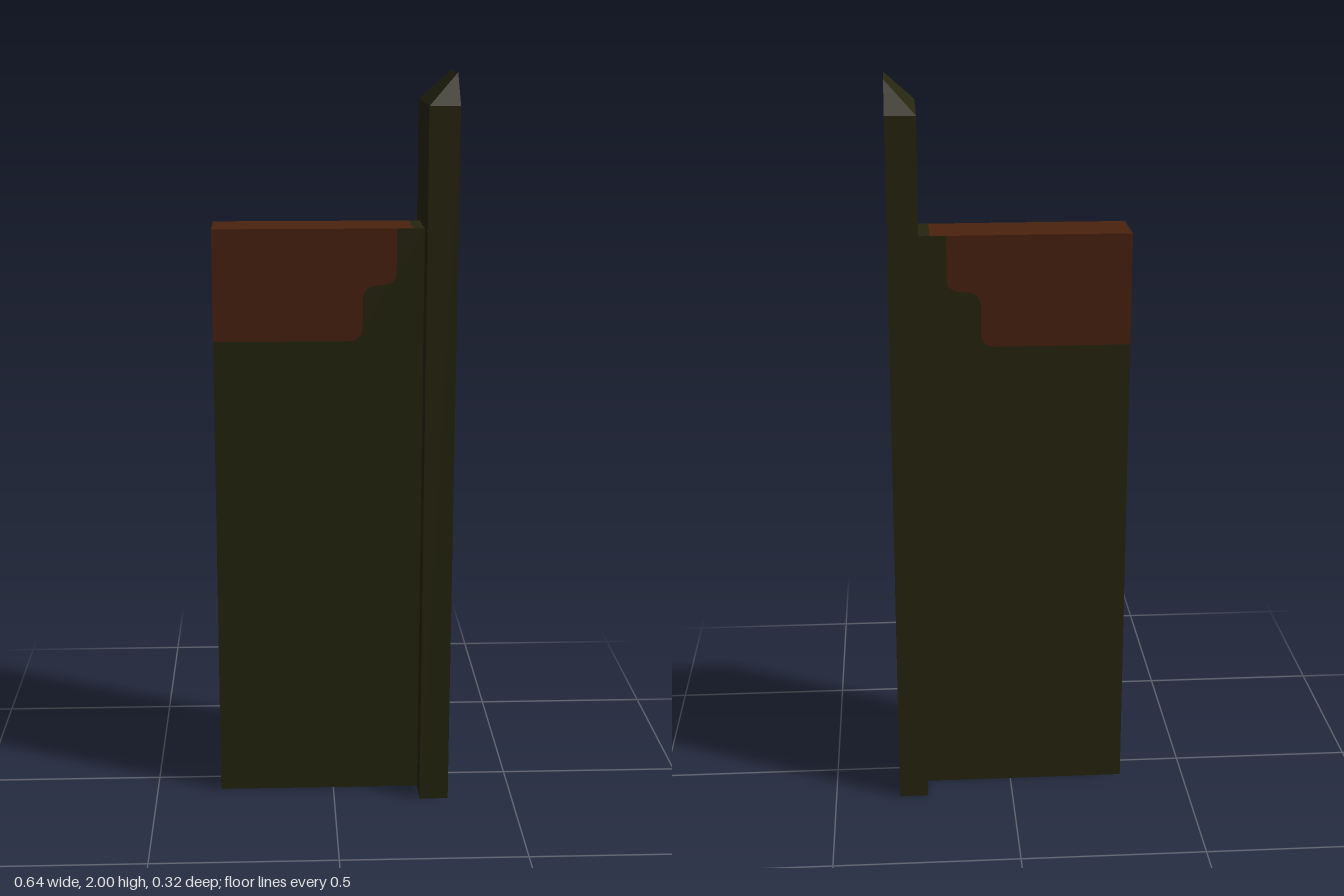
import * as THREE from 'three';

const side = THREE.DoubleSide;
const green = new THREE.MeshStandardMaterial({ name: 'dark olive', color: 0x26250f, side });
const rust = new THREE.MeshStandardMaterial({ name: 'rust brown', color: 0x4a220e, side });

// Key dimensions
const LEFT = -0.32, WEB = 0.24, RIGHT = 0.32;
const WALL_Z = 0.08, FLANGE_Z = 0.16;
const PANEL_TOP = 1.6, RUST_BOTTOM = 1.3, POST_SHOULDER = 1.92, POST_TOP = 2;

// Flat-shaded surface from convex corner loops, each anticlockwise from outside
function sheet(name, material, ...loops) {
  const pos = [];
  for (const c of loops)
    for (let i = 1; i < c.length - 1; i++) pos.push(...c[0], ...c[i], ...c[i + 1]);
  const g = new THREE.BufferGeometry();
  g.setAttribute('position', new THREE.Float32BufferAttribute(pos, 3));
  g.computeVertexNormals();
  const mesh = new THREE.Mesh(g, material);
  mesh.name = name;
  return mesh;
}

// Rounded, stepped border between the two paint colours
function paintBorder() {
  const p = new THREE.Path();
  p.moveTo(LEFT, RUST_BOTTOM);
  p.lineTo(0.04, RUST_BOTTOM);
  p.quadraticCurveTo(0.078, RUST_BOTTOM, 0.078, 1.34);
  p.lineTo(0.078, 1.415);
  p.quadraticCurveTo(0.08, 1.45, 0.125, 1.45);
  p.quadraticCurveTo(0.167, 1.45, 0.167, 1.485);
  p.lineTo(0.167, PANEL_TOP);
  return p.getPoints(6);
}

// One side of the hollow panel; dir = 1 for front, -1 for back
function panelWall(dir) {
  const wall = new THREE.Group();
  wall.name = dir > 0 ? 'frontWall' : 'backWall';
  const border = paintBorder();
  const v = (x, y) => new THREE.Vector2(x, y);
  const regions = [
    ['wallRust', rust, [...border, v(LEFT, PANEL_TOP)]],
    ['wallGreen', green, [v(LEFT, 0), v(WEB, 0), v(WEB, PANEL_TOP), ...border.slice().reverse()]],
  ];
  for (const [name, material, points] of regions) {
    const shape = new THREE.Shape(points.map((p) => v(p.x * dir, p.y)));
    const mesh = new THREE.Mesh(new THREE.ShapeGeometry(shape), material);
    mesh.name = name;
    wall.add(mesh);
  }
  wall.position.z = dir * WALL_Z;
  if (dir < 0) wall.rotation.y = Math.PI;
  return wall;
}

// Strip of the panel's top edge
const topStrip = (name, material, x0, x1) => sheet(name, material, [
  [x0, PANEL_TOP, WALL_Z], [x1, PANEL_TOP, WALL_Z],
  [x1, PANEL_TOP, -WALL_Z], [x0, PANEL_TOP, -WALL_Z],
]);

// Channel post, open on its outer side and underneath, with a hipped cap
function post() {
  const g = new THREE.Group();
  g.name = 'post';
  const S = POST_SHOULDER, T = POST_TOP, F = FLANGE_Z, W = WALL_Z;
  g.add(sheet('postWeb', green, [[WEB, 0, -F], [WEB, 0, F], [WEB, S, F], [WEB, S, -F]]));
  g.add(sheet('postCap', green, [[WEB, S, -F], [WEB, S, F], [RIGHT, T, W], [RIGHT, T, -W]]));
  for (const d of [1, -1]) {
    const flange = [[WEB, 0, d * F], [RIGHT, 0, d * F], [RIGHT, S, d * F], [WEB, S, d * F]];
    const hip = [[WEB, S, d * F], [RIGHT, S, d * F], [RIGHT, T, d * W]];
    if (d < 0) { flange.reverse(); hip.reverse(); }
    g.add(sheet(d > 0 ? 'frontFlange' : 'backFlange', green, flange, hip));
  }
  return g;
}

export function createModel() {
  const model = new THREE.Group();
  model.name = 'panelWithPost';

  // Hollow panel, open at its free end and underneath
  const panel = new THREE.Group();
  panel.name = 'panel';
  panel.add(panelWall(1), panelWall(-1));
  panel.add(topStrip('topRust', rust, LEFT, 0.21), topStrip('topGreen', green, 0.21, WEB));

  model.add(panel, post());
  return model;
}
